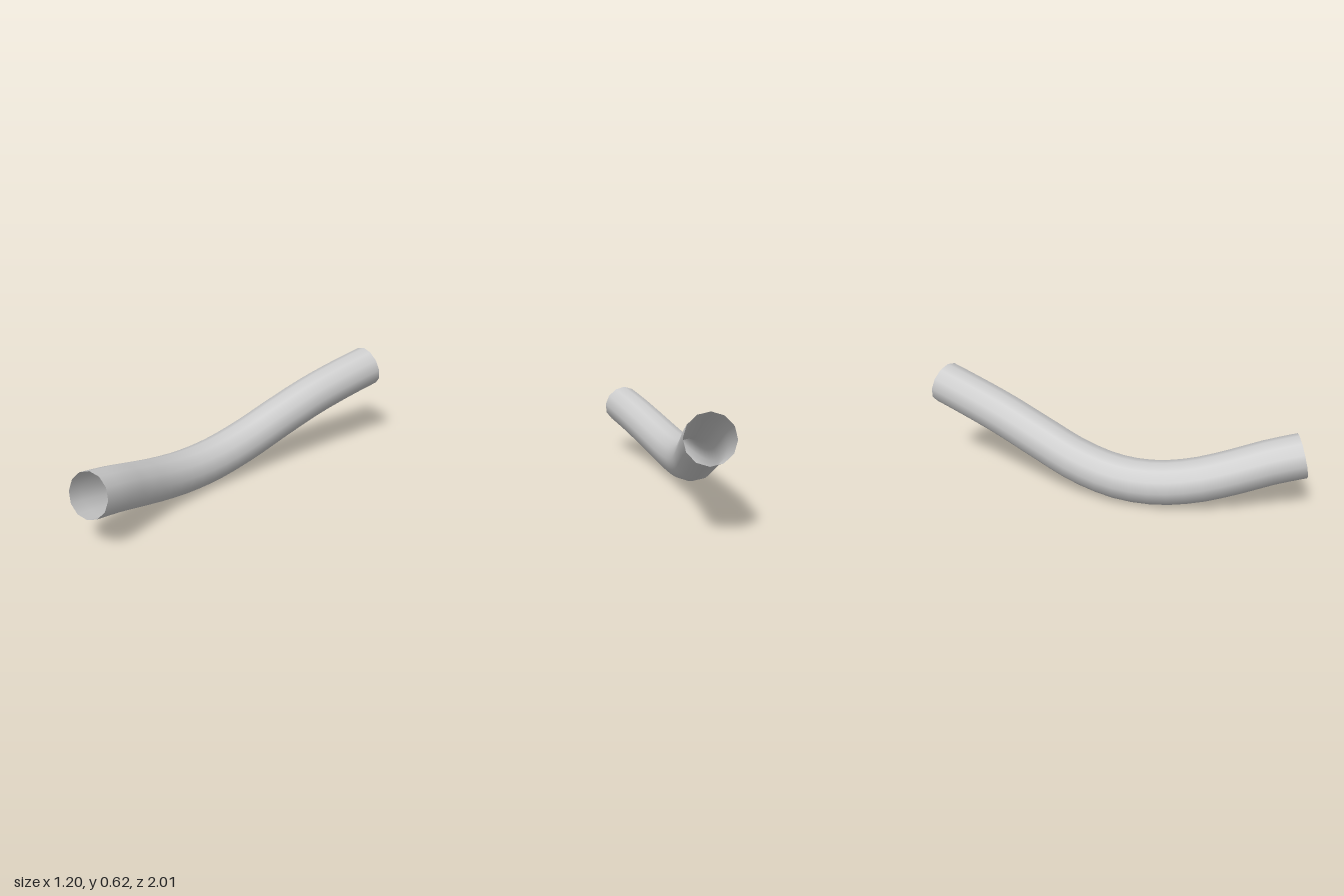
import * as THREE from 'three';

export function createModel() {
  const group = new THREE.Group();
  group.name = 'bentPipe';

  // centre line from the front opening to the back opening
  const path = new THREE.CatmullRomCurve3([
    [-0.48, 0.32, 0.968],
    [-0.447, 0.279, 0.8],
    [-0.413, 0.218, 0.6],
    [-0.367, 0.163, 0.4],
    [-0.297, 0.131, 0.2],
    [-0.2, 0.137, 0],
    [-0.075, 0.191, -0.2],
    [0.075, 0.285, -0.4],
    [0.235, 0.38, -0.6],
    [0.4, 0.457, -0.8],
    [0.506, 0.5, -0.925],
  ].map((p) => new THREE.Vector3(...p)));

  // open-ended twelve-sided hollow pipe
  const pipe = new THREE.Mesh(
    new THREE.TubeGeometry(path, 24, 0.125, 12, false),
    new THREE.MeshStandardMaterial({ color: 0xcccccc, side: THREE.DoubleSide }),
  );
  pipe.name = 'pipe';
  group.add(pipe);
  return group;
}
